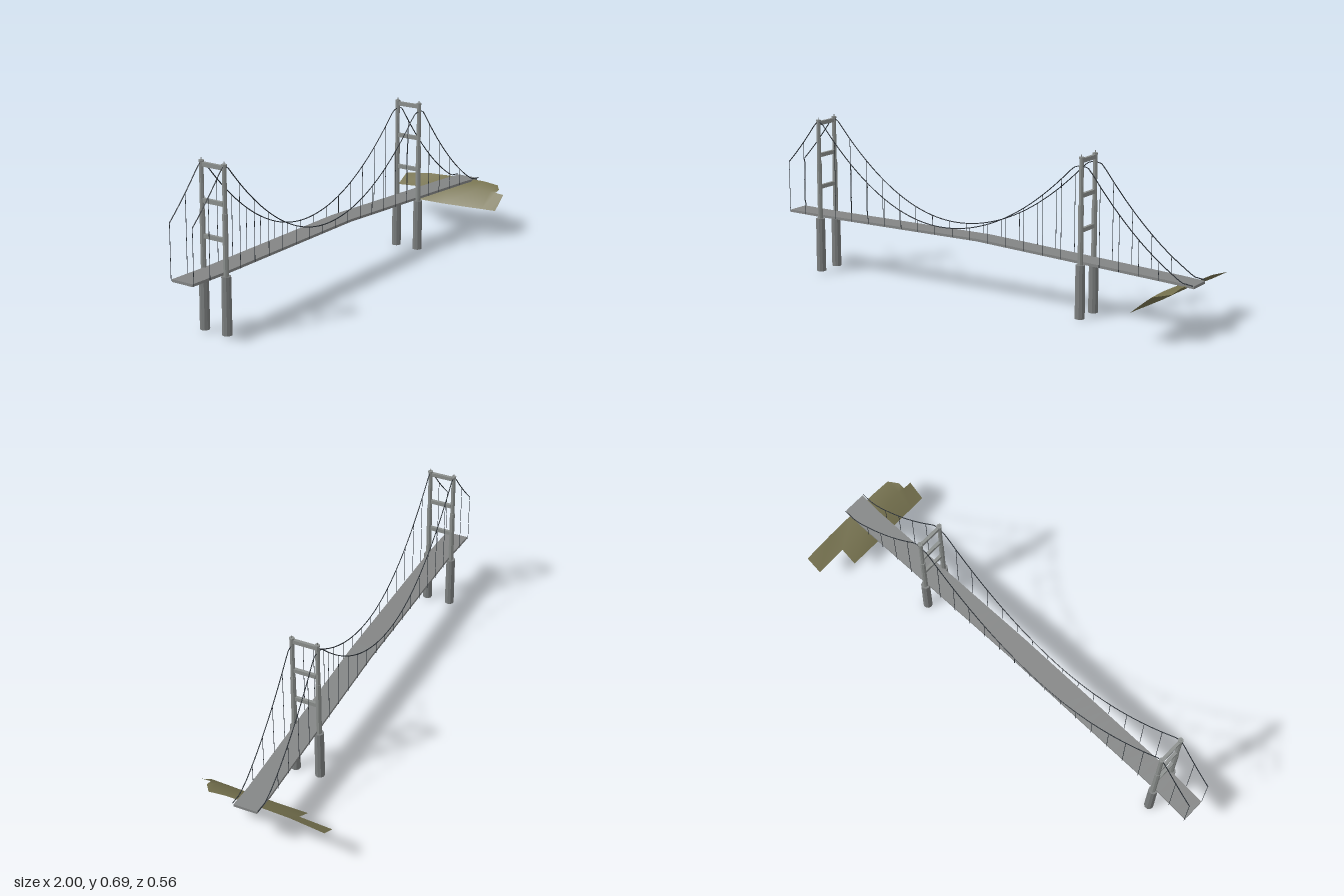
import * as THREE from 'three';

const mat = (name, color, extra = {}) => {
  const m = new THREE.MeshStandardMaterial({ color, ...extra });
  m.name = name;
  return m;
};

// piecewise linear interpolation through [x, value] pairs
function lerpTable(table, x) {
  for (let i = 1; i < table.length; i++) {
    const [x0, v0] = table[i - 1], [x1, v1] = table[i];
    if (x <= x1) return v0 + (v1 - v0) * (x - x0) / (x1 - x0);
  }
  return table[table.length - 1][1];
}

// the road drifts sideways along its length and dips on its right half
const centreZ = x => lerpTable([[-1, 0], [-0.82, 0.011], [0, 0.02], [0.5, 0.024], [0.9, 0.027], [1, 0.034]], x);
const deckTop = x => 0.262 - 0.054 * Math.max(0, x);
const HALF = 0.055;

// height of the main cable over each span
function cableY(x) {
  if (x < -0.83) {
    const t = (x + 1) / 0.17;
    return 0.48 + 0.2 * t - 0.03 * t * (1 - t);
  }
  if (x < -0.81) return 0.68;
  if (x < -0.17) return 0.29 + 0.95 * (x + 0.17) ** 2;
  if (x < 0.47) return 0.29 + 0.818 * (x + 0.17) ** 2;
  if (x < 0.53) return 0.622;
  if (x < 0.95) {
    const t = (x - 0.53) / 0.42;
    return 0.62 - 0.57 * t + 0.165 * t * t;
  }
  return 0.215 - 0.1 * (x - 0.95);
}

export function createModel() {
  const steel = mat('tower grey', 0x8a8e8c, { flatShading: true });
  const concrete = mat('pier grey', 0x7b7e7e, { flatShading: true });
  const road = mat('road grey', 0x838585);
  const wire = mat('cable dark', 0x2a3036);
  const earth = mat('olive earth', 0x75714e, { side: THREE.DoubleSide });

  const model = new THREE.Group();
  model.name = 'suspensionBridge';
  const add = (parent, name, geometry, material, x = 0, y = 0, z = 0) => {
    const mesh = new THREE.Mesh(geometry, material);
    mesh.name = name;
    mesh.position.set(x, y, z);
    parent.add(mesh);
    return mesh;
  };

  // Deck: a long box bent to follow the road line
  const deck = new THREE.BoxGeometry(2, 0.011, 0.1, 40, 1, 1);
  const p = deck.attributes.position;
  for (let i = 0; i < p.count; i++) {
    const x = p.getX(i);
    p.setY(i, p.getY(i) + deckTop(x) - 0.0055);
    p.setZ(i, p.getZ(i) + centreZ(x));
  }
  deck.computeVertexNormals();
  add(model, 'deck', deck, road);

  // Towers: piers, stepped legs, caps, spires and cross beams
  function tower(name, x, lift, base) {
    const g = new THREE.Group();
    g.name = name;
    g.position.set(x, 0, centreZ(x));
    const post = (part, r, y0, y1, z, material, sides = 8, topR = r) => {
      const geo = new THREE.CylinderGeometry(topR, r, y1 - y0, sides);
      geo.rotateY(Math.PI / sides);
      add(g, part, geo, material, 0, (y0 + y1) / 2, z);
    };
    for (const s of [-1, 1]) {
      const z = s * HALF;
      post('pier', 0.0205, base, 0.222 + lift, z, concrete, 10, 0.0195);
      post('lowerLeg', 0.0112, 0.222 + lift, 0.467 + lift, z, steel);
      post('upperLeg', 0.0092, 0.467 + lift, 0.653 + lift, z, steel);
      post('cap', 0.011, 0.653 + lift, 0.66 + lift, z, steel);
      post('spire', 0.002, 0.66 + lift, 0.67 + lift, z, steel);
    }
    for (const y of [0.363, 0.504, 0.645])
      add(g, 'crossBeam', new THREE.BoxGeometry(0.013, 0.017, 2 * HALF - 0.014), steel, 0, y + lift, 0);
    model.add(g);
  }
  tower('leftTower', -0.822, 0.025, 0.01);
  tower('rightTower', 0.498, 0, 0);

  // Main cables and hangers on both sides
  const hanger = new THREE.BoxGeometry(0.0016, 1, 0.0016);
  for (const s of [-1, 1]) {
    const path = new THREE.CurvePath();
    const xs = [];
    for (let i = 0; i <= 80; i++) xs.push(-1 + i * 0.025);
    const points = xs.map(x => new THREE.Vector3(x, cableY(x), centreZ(x) + s * HALF));
    for (let i = 1; i < points.length; i++) path.add(new THREE.LineCurve3(points[i - 1], points[i]));
    add(model, 'mainCable', new THREE.TubeGeometry(path, 160, 0.0021, 6), wire);

    for (let k = 0; k < 22; k++) {
      const x = -0.999 + k * 0.0879;
      if (k === 2 || k === 17) continue; // tower positions
      const height = cableY(x) - deckTop(x) + 0.008;
      if (height < 0.02) continue;
      const m = add(model, 'hanger', hanger, wire, x, cableY(x) - height / 2, centreZ(x) + s * HALF);
      m.scale.y = height;
    }
  }

  // Shore: a sloping sheet from rows across the bank: z, then [x, y] points
  const rows = [
    [-0.285, [0.9, 0.14], [0.97, 0.18]],
    [-0.145, [0.83, 0.11], [0.9, 0.15], [0.97, 0.199]],
    [0, [0.83, 0.112], [0.9, 0.182], [0.97, 0.206]],
    [0.14, [0.83, 0.118], [0.9, 0.188], [0.97, 0.207]],
    [0.21, [0.83, 0.122], [0.9, 0.187], [0.97, 0.2]],
    [0.24, [0.83, 0.123], [0.9, 0.186], [0.93, 0.194]],
    [0.28, [0.83, 0.125], [0.9, 0.183]],
  ];
  const verts = [], index = [], starts = [];
  for (const [z, ...pts] of rows) {
    starts.push(verts.length / 3);
    for (const [x, y] of pts) verts.push(x, y, z);
  }
  const quad = (a, b) => index.push(a, b, b + 1, a, b + 1, a + 1);
  quad(starts[0], starts[1] + 1);
  for (let r = 1; r < 6; r++) {
    quad(starts[r], starts[r + 1]);
    if (r < 5) quad(starts[r] + 1, starts[r + 1] + 1);
  }
  const shore = new THREE.BufferGeometry();
  shore.setAttribute('position', new THREE.Float32BufferAttribute(verts, 3));
  shore.setIndex(index);
  shore.computeVertexNormals();
  add(model, 'shore', shore, earth);

  return model;
}
